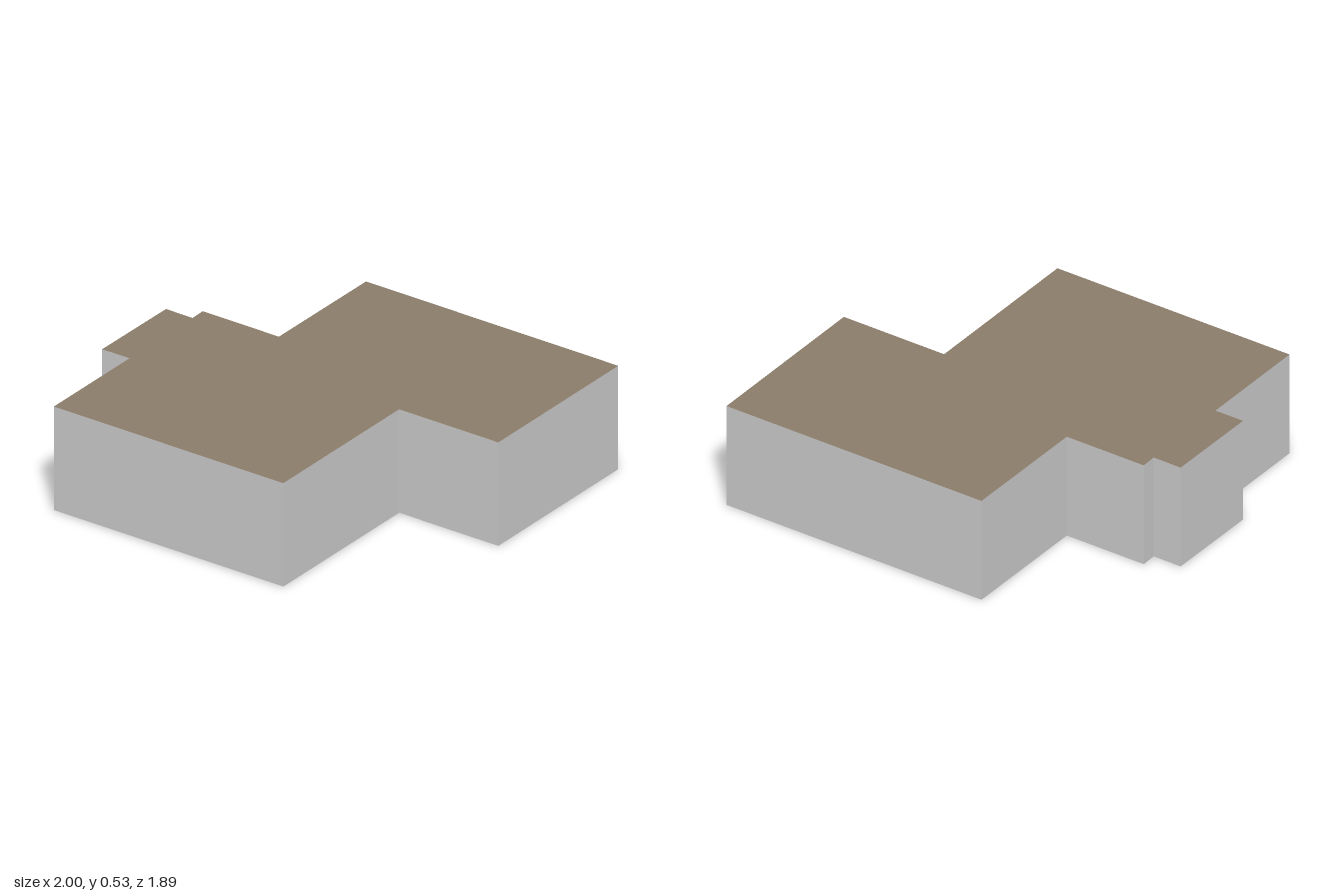
import * as THREE from 'three';

const HEIGHT = 0.53;

// Building footprint as [x, z] corners
const FOOTPRINT = [
  [-0.449, -0.9], [0.965, -0.949], [0.998, -0.019], [0.442, 0],
  [0.473, 0.897], [-0.813, 0.943], [-0.833, 0.357], [-0.986, 0.363],
  [-1, -0.128], [-0.85, -0.132], [-0.855, -0.213], [-0.428, -0.228],
];

export function createModel() {
  const wall = new THREE.MeshStandardMaterial({ color: 0xcccccc });
  wall.name = 'wall grey';
  const roof = new THREE.MeshStandardMaterial({ color: 0x8c7d6b });
  roof.name = 'roof brown';

  // Footprint raised to full height
  const shape = new THREE.Shape(FOOTPRINT.map(([x, z]) => new THREE.Vector2(x, -z)));
  const geometry = new THREE.ExtrudeGeometry(shape, { depth: HEIGHT, bevelEnabled: false });
  geometry.rotateX(-Math.PI / 2);

  // The caps group holds the floor first, then the roof
  const [caps, sides] = geometry.groups;
  const half = caps.count / 2;
  geometry.clearGroups();
  geometry.addGroup(caps.start, half, 0);
  geometry.addGroup(caps.start + half, half, 1);
  geometry.addGroup(sides.start, sides.count, 0);

  const building = new THREE.Mesh(geometry, [wall, roof]);
  building.name = 'building';

  const model = new THREE.Group();
  model.name = 'flatRoofedBuilding';
  model.add(building);
  return model;
}
